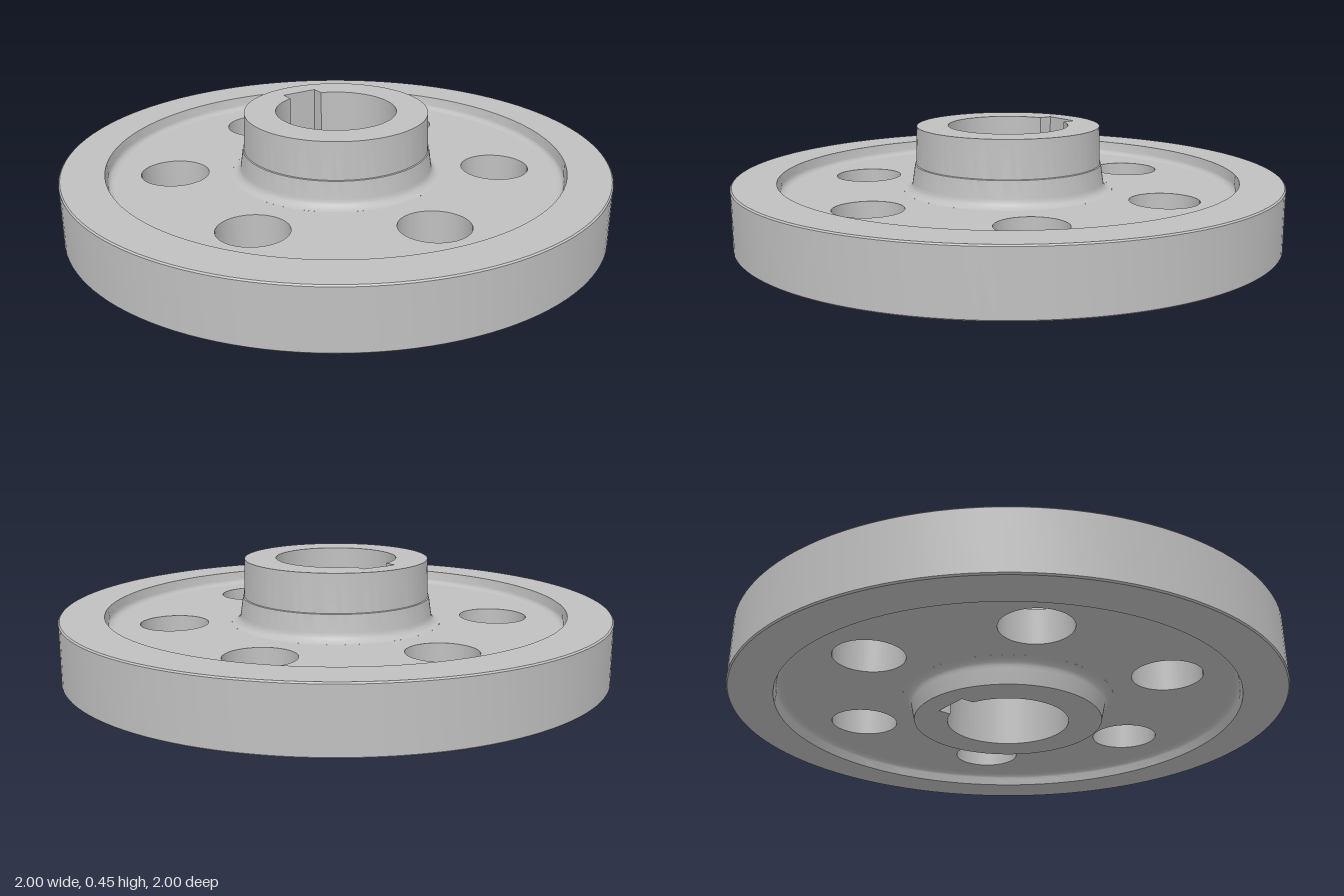
import * as THREE from 'three';
import { toCreasedNormals } from 'three/addons/utils/BufferGeometryUtils.js';

const SEGMENTS = 128;
const WEB_BOTTOM = 0.087, WEB_TOP = 0.215;
const HUB_HEIGHT = 0.45, CORE_RADIUS = 0.3;

// Quarter-round points between a wall and the web, listed from wall to web
function fillet(wallR, webR, wallY, webY, steps = 5) {
  return Array.from({ length: steps + 1 }, (_, i) => {
    const a = (i / steps) * Math.PI / 2;
    return [webR + (wallR - webR) * Math.cos(a), wallY + (webY - wallY) * Math.sin(a)];
  }).map(([r, y]) => [r, y]);
}

function circle(shape, x, y, r) {
  return shape.absarc(x, y, r, 0, Math.PI * 2, false);
}

// Extrude a plan shape upward, from y0 to y1
function plate(shape, y0, y1) {
  const g = new THREE.ExtrudeGeometry(shape, { depth: y1 - y0, bevelEnabled: false, curveSegments: SEGMENTS });
  g.rotateX(-Math.PI / 2);
  g.translate(0, y0, 0);
  return toCreasedNormals(g, 0.5);
}

function turned(points) {
  const g = new THREE.LatheGeometry(points.map(([r, y]) => new THREE.Vector2(r, y)), SEGMENTS);
  return toCreasedNormals(g, 0.5);
}

export function createModel() {
  const model = new THREE.Group();
  model.name = 'wheel';
  const steel = new THREE.MeshStandardMaterial({ color: 0xc0c0c0 });
  steel.name = 'grey steel';
  const add = (name, geometry) => {
    const mesh = new THREE.Mesh(geometry, steel);
    mesh.name = name;
    model.add(mesh);
  };

  // Rim with small edge chamfers, drafted inner walls and fillets to the web
  add('rim', turned([
    ...fillet(0.835, 0.81, 0.062, WEB_BOTTOM).reverse(),
    [0.84, 0.04], [0.995, 0.04], [1, 0.045], [1, 0.26], [0.995, 0.265], [0.84, 0.265],
    ...fillet(0.835, 0.81, 0.24, WEB_TOP),
  ]));

  // Web disc with six round holes
  const web = circle(new THREE.Shape(), 0, 0, 0.81);
  web.holes.push(circle(new THREE.Path(), 0, 0, 0.385));
  for (let i = 0; i < 6; i++) {
    const a = Math.PI / 6 + i * Math.PI / 3;
    web.holes.push(circle(new THREE.Path(), Math.cos(a) * 0.595, Math.sin(a) * 0.595, 0.124));
  }
  add('web', plate(web, WEB_BOTTOM, WEB_TOP));

  // Hub outside: short boss below, tall stepped boss above
  add('hubLower', turned([
    [CORE_RADIUS, 0], [0.34, 0], ...fillet(0.352, 0.385, 0.055, WEB_BOTTOM),
  ]));
  add('hubUpper', turned([
    ...fillet(0.352, 0.385, 0.248, WEB_TOP).reverse(),
    [0.343, 0.31], [0.339, 0.312], [0.335, HUB_HEIGHT], [CORE_RADIUS, HUB_HEIGHT],
  ]));

  // Hub core: bore with a keyway slot toward the back
  const core = circle(new THREE.Shape(), 0, 0, CORE_RADIUS);
  const boreRadius = 0.22, keyHalf = 0.068, keyTop = 0.258;
  const start = Math.acos(keyHalf / boreRadius);
  const bore = new THREE.Path();
  bore.moveTo(keyHalf, keyTop);
  bore.lineTo(-keyHalf, keyTop);
  bore.absarc(0, 0, boreRadius, Math.PI - start, Math.PI * 2 + start, false);
  bore.lineTo(keyHalf, keyTop);
  core.holes.push(bore);
  add('hubCore', plate(core, 0, HUB_HEIGHT));

  return model;
}
